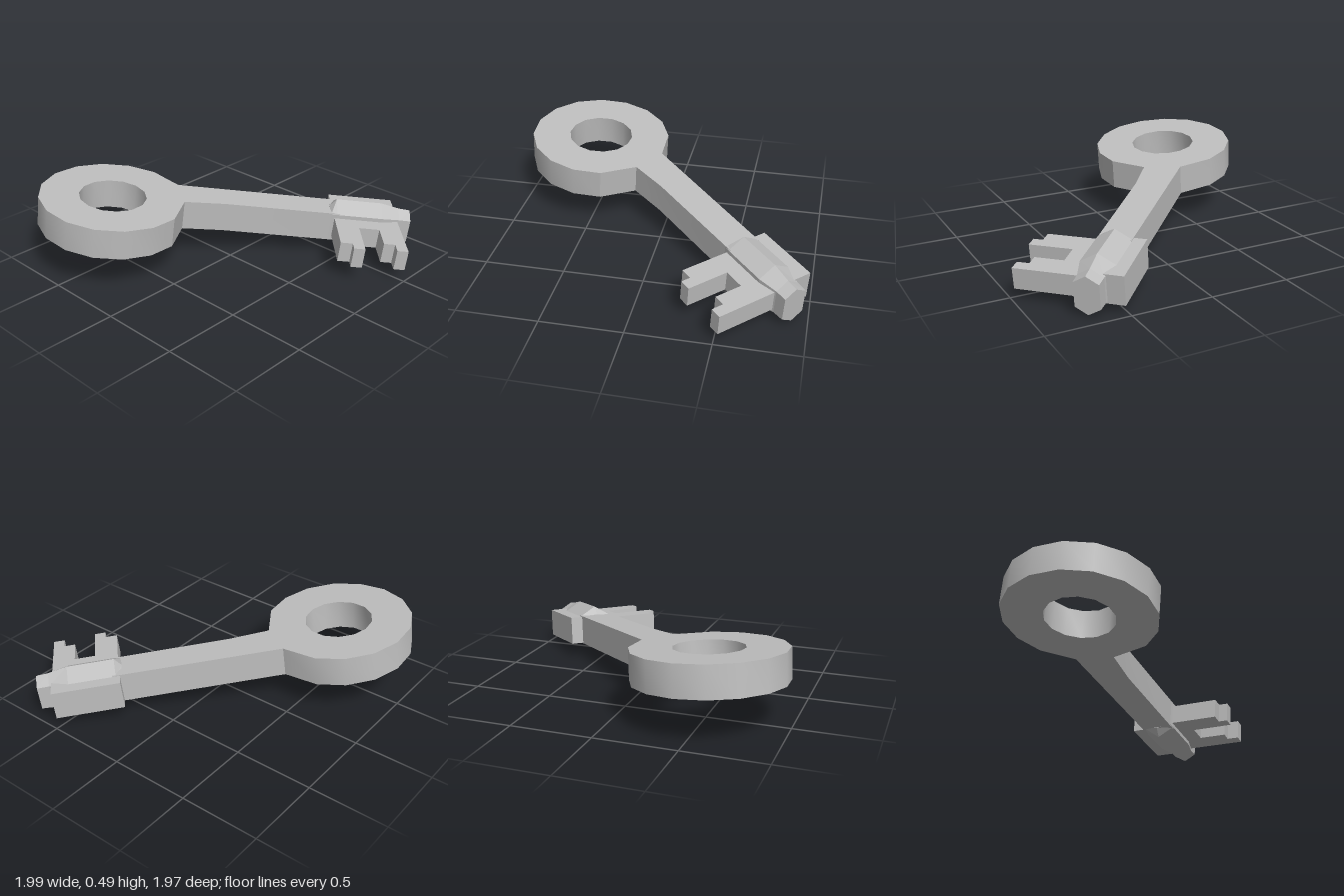
import * as THREE from 'three';
import { toCreasedNormals } from 'three/addons/utils/BufferGeometryUtils.js';

const metal = new THREE.MeshStandardMaterial({ color: 0xbebebe });
metal.name = 'grey metal';

// Flat plate from an outline of [length, side] points, centred on y = 0
function plate(name, points, thickness, hole) {
  const shape = new THREE.Shape(points.map(([u, v]) => new THREE.Vector2(u, v)));
  if (hole) shape.holes.push(hole);
  const geo = new THREE.ExtrudeGeometry(shape, { depth: thickness, bevelEnabled: false });
  geo.translate(0, 0, -thickness / 2).rotateX(Math.PI / 2);
  const mesh = new THREE.Mesh(toCreasedNormals(geo, 0.5), metal);
  mesh.name = name;
  return mesh;
}

// Points of a circle in the plane of the key
function arc(cx, cy, r, start, step, count) {
  return Array.from({ length: count }, (_, i) => {
    const a = THREE.MathUtils.degToRad(start + step * i);
    return [cx + r * Math.cos(a), cy + r * Math.sin(a)];
  });
}

// Six-sided barrel lofted along x: [x, ridge half height, side half height, half width]
function barrel(sections, centreZ) {
  const pos = [], index = [];
  for (const [x, h, s, w] of sections) {
    for (const [y, z] of [[h, 0], [s, w], [-s, w], [-h, 0], [-s, -w], [s, -w]]) {
      pos.push(x, y, centreZ + z);
    }
  }
  const last = (sections.length - 1) * 6;
  for (let i = 0; i < last; i += 6) {
    for (let j = 0; j < 6; j++) {
      const a = i + j, b = i + (j + 1) % 6;
      index.push(a, b, a + 6, b, b + 6, a + 6);
    }
  }
  for (let j = 1; j < 5; j++) {
    index.push(0, j + 1, j, last, last + j, last + j + 1);
  }
  const indexed = new THREE.BufferGeometry();
  indexed.setAttribute('position', new THREE.Float32BufferAttribute(pos, 3));
  indexed.setIndex(index);
  const geo = indexed.toNonIndexed();
  geo.computeVertexNormals();
  const mesh = new THREE.Mesh(geo, metal);
  mesh.name = 'barrel';
  return mesh;
}

export function createModel() {
  const key = new THREE.Group();
  key.name = 'key';
  const ringU = -0.75, ringV = -0.005;

  // Ring handle and shaft in one plate
  const hole = new THREE.Path(
    arc(ringU, ringV, 0.212, 0, 360 / 14, 14).map(([u, v]) => new THREE.Vector2(u, v))
  );
  key.add(plate('ringAndShaft', [
    ...arc(ringU, ringV, 0.46, 31, 22.5, 13),
    [-0.35, -0.24], [0.7, -0.237],
    [0.7, -0.033], [-0.04, -0.03], [-0.3, -0.007],
  ], 0.19, hole));

  // Six-sided barrel with tapered tip
  key.add(barrel([
    [0.64, 0.1, 0.085, 0.1],
    [0.68, 0.15, 0.09, 0.105],
    [0.97, 0.15, 0.09, 0.105],
    [1.09, 0.125, 0.078, 0.076],
    [1.165, 0.118, 0.075, 0.074],
  ], -0.133));

  // Plain block on one side
  const block = new THREE.Mesh(new THREE.BoxGeometry(0.42, 0.18, 0.185), metal);
  block.position.set(0.865, 0, -0.2225);
  block.name = 'sideBlock';
  key.add(block);

  // Toothed bit on the other side
  key.add(plate('toothedBit', [
    [0.665, -0.13], [1.08, -0.13], [1.08, 0.328], [1.01, 0.328], [1.01, 0.253],
    [0.94, 0.253], [0.94, 0.076], [0.81, 0.076], [0.81, 0.344], [0.74, 0.344],
    [0.74, 0.285], [0.665, 0.285],
  ], 0.13));

  // Lay the key diagonally, tip slightly lowered
  key.rotation.set(0.02, Math.PI / 4, -0.113, 'YXZ');
  key.position.y = 0.267;

  const model = new THREE.Group();
  model.name = 'model';
  model.add(key);
  return model;
}
